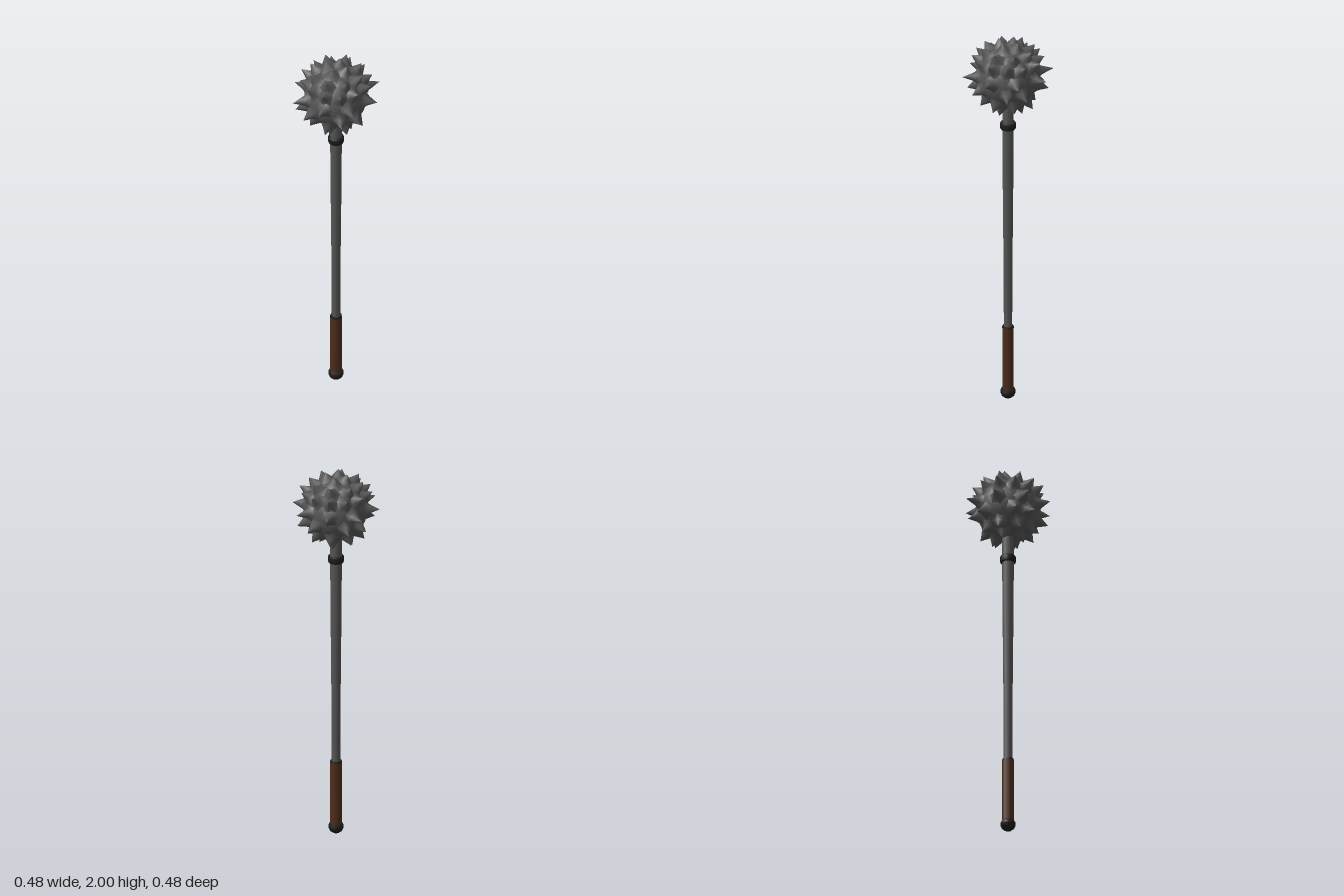
import * as THREE from 'three';

const steel = new THREE.MeshStandardMaterial({ name: 'dark steel', color: 0x555555 });
const iron = new THREE.MeshStandardMaterial({ name: 'black iron', color: 0x1c1c1c });
const leather = new THREE.MeshStandardMaterial({ name: 'brown leather', color: 0x4e2d1b });

const lathe = (points, sides) =>
  new THREE.LatheGeometry(points.map(([r, y]) => new THREE.Vector2(r, y)), sides);

export function createModel() {
  const model = new THREE.Group();
  model.name = 'spikedMace';
  const add = (name, geometry, material, y = 0, parent = model) => {
    const mesh = new THREE.Mesh(geometry, material);
    mesh.name = name;
    mesh.position.y = y;
    parent.add(mesh);
    return mesh;
  };

  // Handle: rounded pommel, leather grip with a thin iron rim, tapered shaft, collar
  add('pommel', lathe([[0, 0], [0.018, 0.003], [0.032, 0.014], [0.039, 0.03], [0.039, 0.042],
    [0.033, 0.054], [0, 0.056]], 16), iron);
  add('grip', new THREE.CylinderGeometry(0.03, 0.03, 0.345, 12), leather, 0.2225);
  add('gripRim', new THREE.CylinderGeometry(0.029, 0.031, 0.008, 12), iron, 0.398);
  add('shaft', lathe([[0.022, 0.38], [0.023, 0.7], [0.026, 1.0], [0.0285, 1.27],
    [0.03, 1.5], [0.03, 1.68]], 12), steel);
  add('collar', lathe([[0.028, 1.507], [0.038, 1.507], [0.041, 1.514], [0.041, 1.536],
    [0.038, 1.543], [0.028, 1.543]], 16), iron);

  // Head: ball centred at its own group origin
  const head = new THREE.Group();
  head.name = 'head';
  head.position.y = 1.805;
  model.add(head);
  add('ball', new THREE.SphereGeometry(0.162, 24, 16), steel, 0, head);

  // Rings of spikes: tip height, then tip x/z pairs, each turned through four quarters
  const rings = [
    [0.195, [0.04, 0.04]],
    [0.16, [0.1, 0.1], [0.14, 0]],
    [0.11, [0.18, 0.048], [0.048, 0.18], [0.135, 0.135]],
    [0.015, [0.24, 0], [0.161, 0.161]],
    [-0.07, [0.202, 0.052], [0.052, 0.202]],
    [-0.155, [0.105, 0.105], [0.145, 0]],
    [-0.195, [0.06, 0.06]],
  ];
  const up = new THREE.Vector3(0, 1, 0);
  for (const [y, ...tips] of rings) {
    for (const [x, z] of tips) {
      for (let q = 0; q < 4; q++) {
        const tip = new THREE.Vector3(x, y, z).applyAxisAngle(up, q * Math.PI / 2);
        const length = tip.length();
        // Flared foot blends the spike into the ball
        const spike = add('spike', lathe([[0.056, 0.148], [0.037, 0.161], [0.025, 0.176],
          [0, length]], 6), steel, 0, head);
        spike.quaternion.setFromUnitVectors(up, tip.normalize());
      }
    }
  }
  return model;
}
